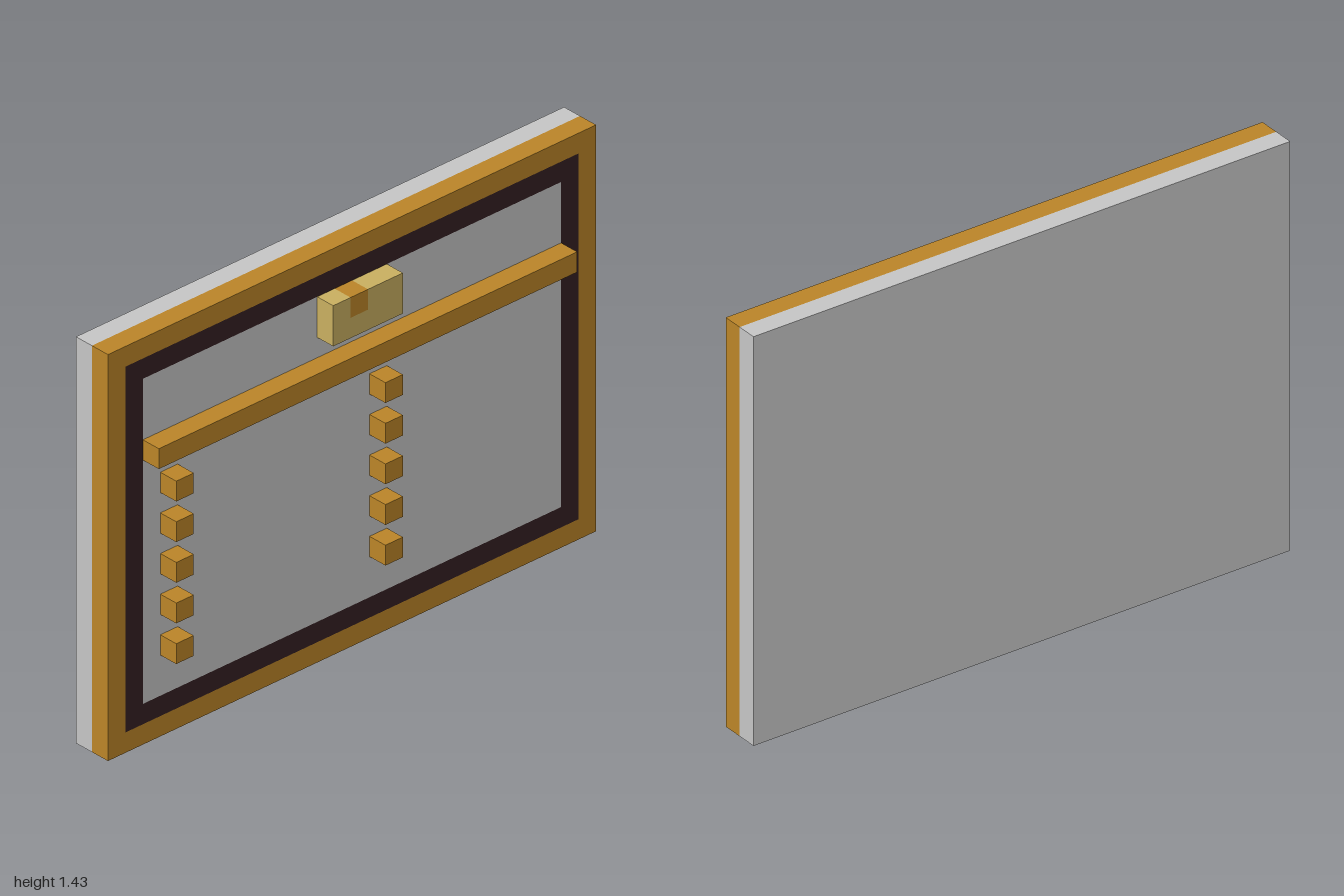
import * as THREE from 'three';

const U = 1 / 14; // one block of the grid
const H = 20; // board height in blocks

const mat = (name, color, side = THREE.FrontSide) => {
  const m = new THREE.MeshStandardMaterial({ color, side });
  m.name = name;
  return m;
};

export function createModel() {
  const D = THREE.DoubleSide;
  const gold = mat('golden wood', 0xbb8528, D);
  const grey = mat('light grey', 0xc6c6c6, D);
  const dark = mat('dark brown', 0x352022, D);
  const pale = mat('pale wood', 0xc9af60);

  const board = new THREE.Group();
  board.name = 'noticeBoard';

  const add = (name, geometry, material, x = 0, y = 0, z = 0) => {
    const mesh = new THREE.Mesh(geometry, material);
    mesh.name = name;
    mesh.position.set(x * U, y * U, z * U);
    board.add(mesh);
    return mesh;
  };

  // Corner points of the board rectangle, inset by some blocks
  const rect = (inset) => {
    const x = (14 - inset) * U, b = inset * U, t = (H - inset) * U;
    return [[-x, b], [x, b], [x, t], [-x, t]].map((p) => new THREE.Vector2(...p));
  };

  // Flush front face: wooden frame, dark border and grey panel
  const face = (name, inset, material, hole) => {
    const shape = new THREE.Shape(rect(inset));
    if (hole) shape.holes.push(new THREE.Path(rect(hole)));
    add(name, new THREE.ShapeGeometry(shape), material, 0, 0, 0.5);
  };
  face('frameFace', 0, gold, 1);
  face('innerBorder', 1, dark, 2);
  face('frontPanel', 2, grey);

  // Top and side walls of the hollow board, open underneath
  const walls = (name, z, material) => {
    const side = new THREE.PlaneGeometry(U, H * U);
    add(name + 'Left', side, material, 14, H / 2, z).rotation.y = Math.PI / 2;
    add(name + 'Right', side, material, -14, H / 2, z).rotation.y = -Math.PI / 2;
    const top = new THREE.PlaneGeometry(28 * U, U);
    add(name + 'Top', top, material, 0, H, z).rotation.x = -Math.PI / 2;
  };
  walls('frameEdge', 0, gold);
  walls('backEdge', -1, grey);
  const back = new THREE.PlaneGeometry(28 * U, H * U);
  add('backPanel', back, grey, 0, H / 2, -1.5).rotation.y = Math.PI;

  // Blocks standing on the front face, given by lower left corner and size
  const block = (name, x, y, w, h, material) =>
    add(name, new THREE.BoxGeometry(w * U, h * U, U), material, x + w / 2, y + h / 2, 1);

  block('crossRail', -12, 14, 24, 1, gold);
  for (const x of [-11, 1]) {
    for (let y = 4; y <= 12; y += 2) block('peg', x, y, 1, 1, gold);
  }

  // Plaque in pale wood with one golden block let into its top edge
  block('plaqueBase', -2, 16, 4, 1, pale);
  block('plaqueRight', -2, 17, 1, 1, pale);
  block('plaqueLeft', 0, 17, 2, 1, pale);
  block('plaqueInlay', -1, 17, 1, 1, gold);

  return board;
}
